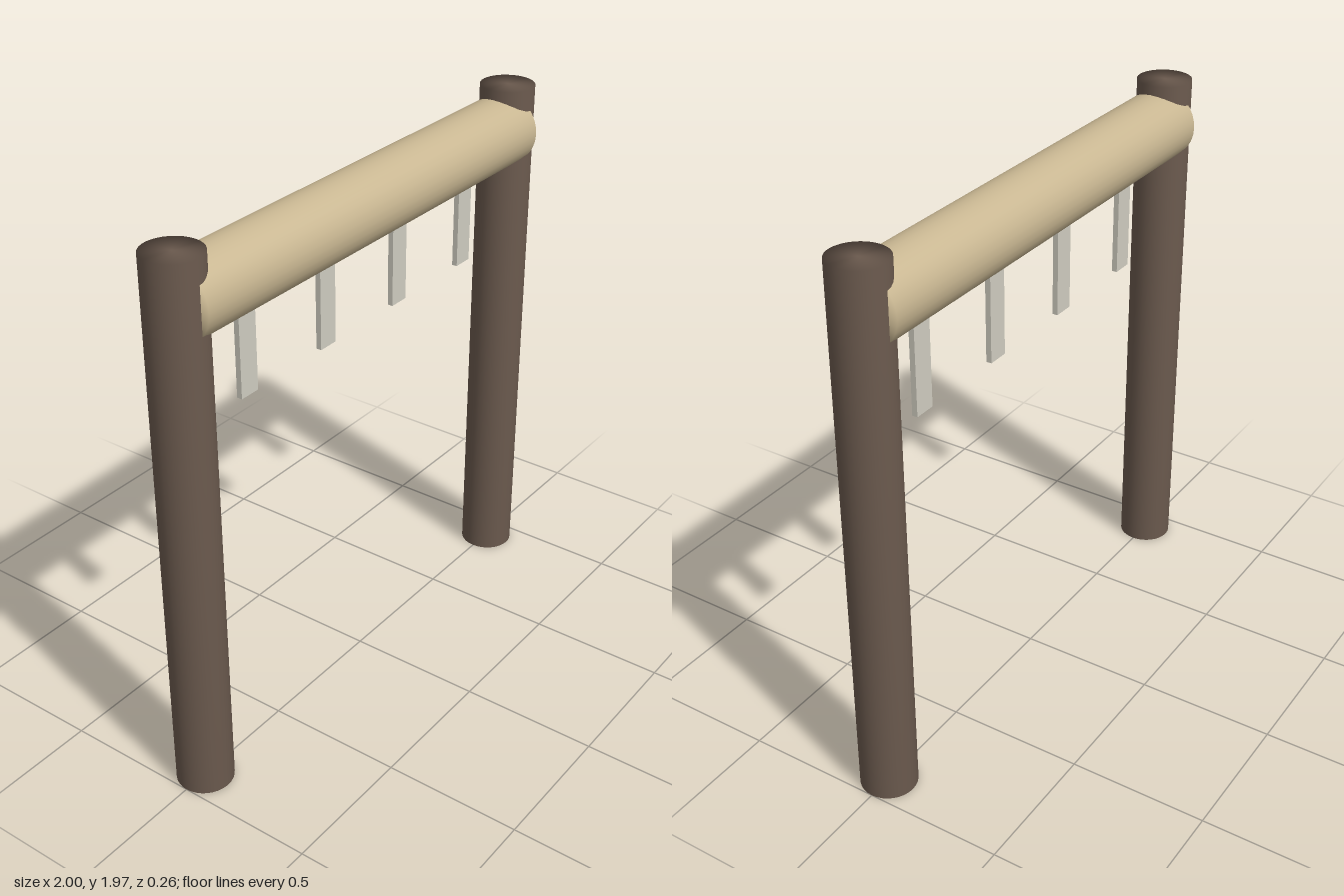
import * as THREE from 'three';
import { mergeVertices } from 'three/addons/utils/BufferGeometryUtils.js';

// Round log whose normals blend softly over the end rims
function logGeometry(radius, length) {
  const geo = new THREE.CylinderGeometry(radius, radius, length, 32);
  geo.deleteAttribute('uv');
  geo.deleteAttribute('normal');
  const soft = mergeVertices(geo);
  soft.computeVertexNormals();
  return soft;
}

export function createModel() {
  const group = new THREE.Group();
  const postMat = new THREE.MeshStandardMaterial({ color: 0x6b5a4e });
  const beamMat = new THREE.MeshStandardMaterial({ color: 0xc9b792 });
  const stripMat = new THREE.MeshStandardMaterial({ color: 0xcfccc0 });

  const add = (name, geometry, material, x, y, z) => {
    const mesh = new THREE.Mesh(geometry, material);
    mesh.name = name;
    mesh.position.set(x, y, z);
    group.add(mesh);
    return mesh;
  };

  // Upright posts
  const postHeight = 1.97;
  const postGeo = logGeometry(0.1, postHeight);
  add('leftPost', postGeo, postMat, 0.9, postHeight / 2, 0);
  add('rightPost', postGeo, postMat, -0.9, postHeight / 2, 0);

  // Crossbeam, ending at the post axes
  const beam = add('crossbeam', logGeometry(0.13, 1.8), beamMat, 0, 1.806, 0);
  beam.rotation.z = Math.PI / 2;

  // Flat strips hanging from the beam, tops set into it
  const bottom = 1.35, top = 1.7;
  const stripGeo = new THREE.BoxGeometry(0.08, top - bottom, 0.02);
  for (let i = 0; i < 4; i++) {
    add(`hangingStrip${i + 1}`, stripGeo, stripMat, -0.575 + i * 0.41, (top + bottom) / 2, -0.02);
  }

  return group;
}
